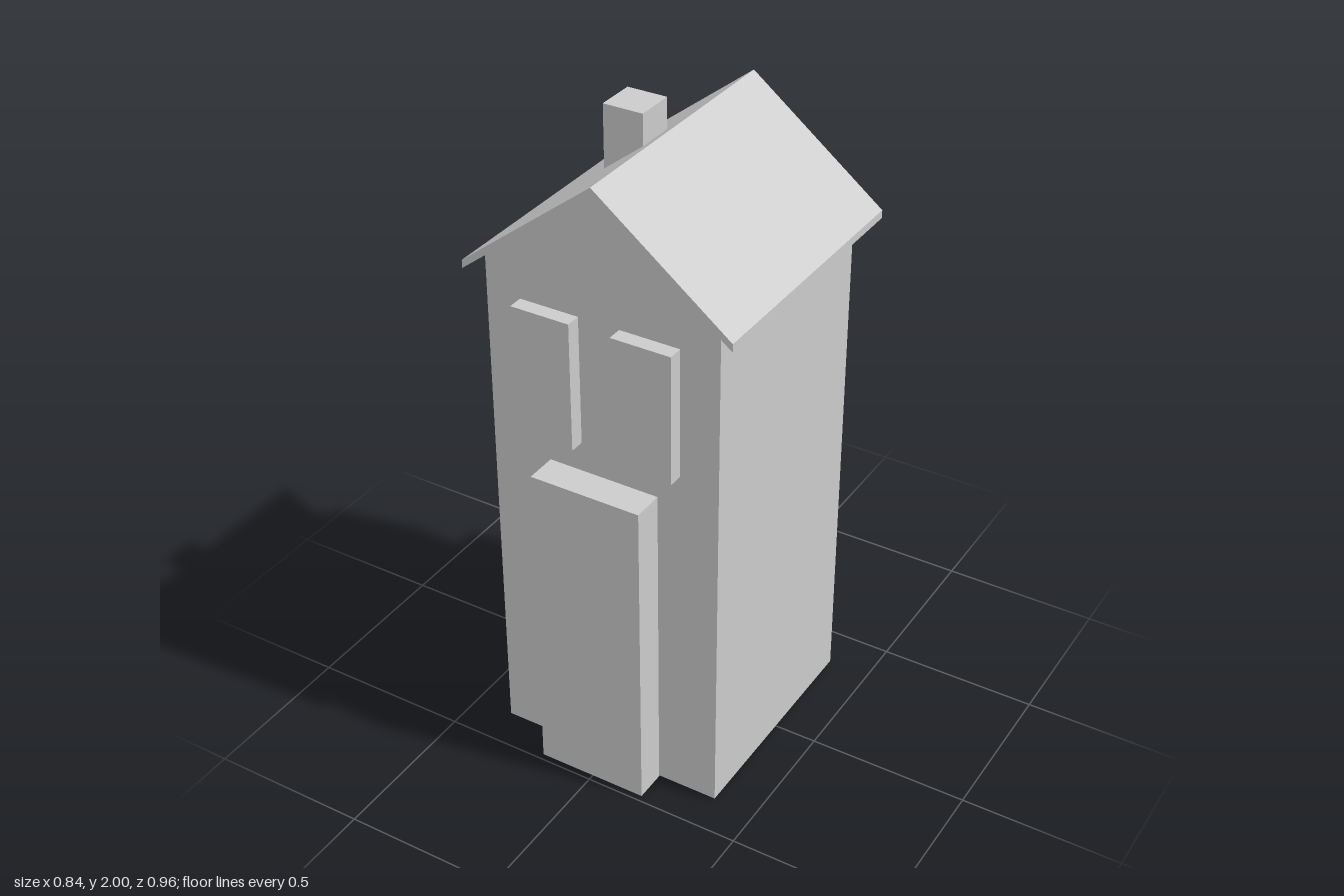
import * as THREE from 'three';

const grey = new THREE.MeshStandardMaterial({ color: 0xcccccc, flatShading: true });

// Box given by its minimum and maximum corners
function box(name, [x0, y0, z0], [x1, y1, z1]) {
  const mesh = new THREE.Mesh(new THREE.BoxGeometry(x1 - x0, y1 - y0, z1 - z0), grey);
  mesh.position.set((x0 + x1) / 2, (y0 + y1) / 2, (z0 + z1) / 2);
  mesh.name = name;
  return mesh;
}

// Front outline extruded from z0 to z1
function prism(name, points, z0, z1) {
  const shape = new THREE.Shape(points.map(([x, y]) => new THREE.Vector2(x, y)));
  const geometry = new THREE.ExtrudeGeometry(shape, { depth: z1 - z0, bevelEnabled: false });
  const mesh = new THREE.Mesh(geometry, grey);
  mesh.position.z = z0;
  mesh.name = name;
  return mesh;
}

export function createModel() {
  const house = new THREE.Group();
  house.name = 'house';

  // Walls with a gable at each end
  house.add(prism('walls', [
    [-0.37, 0.004], [0.367, 0.004], [0.367, 1.641], [0, 1.928], [-0.37, 1.639],
  ], -0.36, 0.38));

  // Thin pitched roof overhanging the walls
  house.add(prism('roof', [
    [-0.422, 1.6], [0, 1.93], [0.422, 1.6], [0.422, 1.625], [0, 1.955], [-0.422, 1.625],
  ], -0.428, 0.416));

  // Chimney rising through one roof slope
  house.add(box('chimney', [-0.19, 1.75, -0.064], [-0.064, 2, 0.06]));

  // A door and two windows on the front and on the back
  const ends = [
    { side: 'front', door: [0.3, 0.48], window: [0.3, 0.427] },
    { side: 'back', door: [-0.482, -0.295], window: [-0.42, -0.295] },
  ];
  for (const { side, door, window } of ends) {
    house.add(box(side + 'Door', [-0.18, 0, door[0]], [0.173, 1.036, door[1]]));
    house.add(box(side + 'RightWindow', [-0.26, 1.13, window[0]], [-0.073, 1.535, window[1]]));
    house.add(box(side + 'LeftWindow', [0.057, 1.13, window[0]], [0.245, 1.535, window[1]]));
  }
  return house;
}
